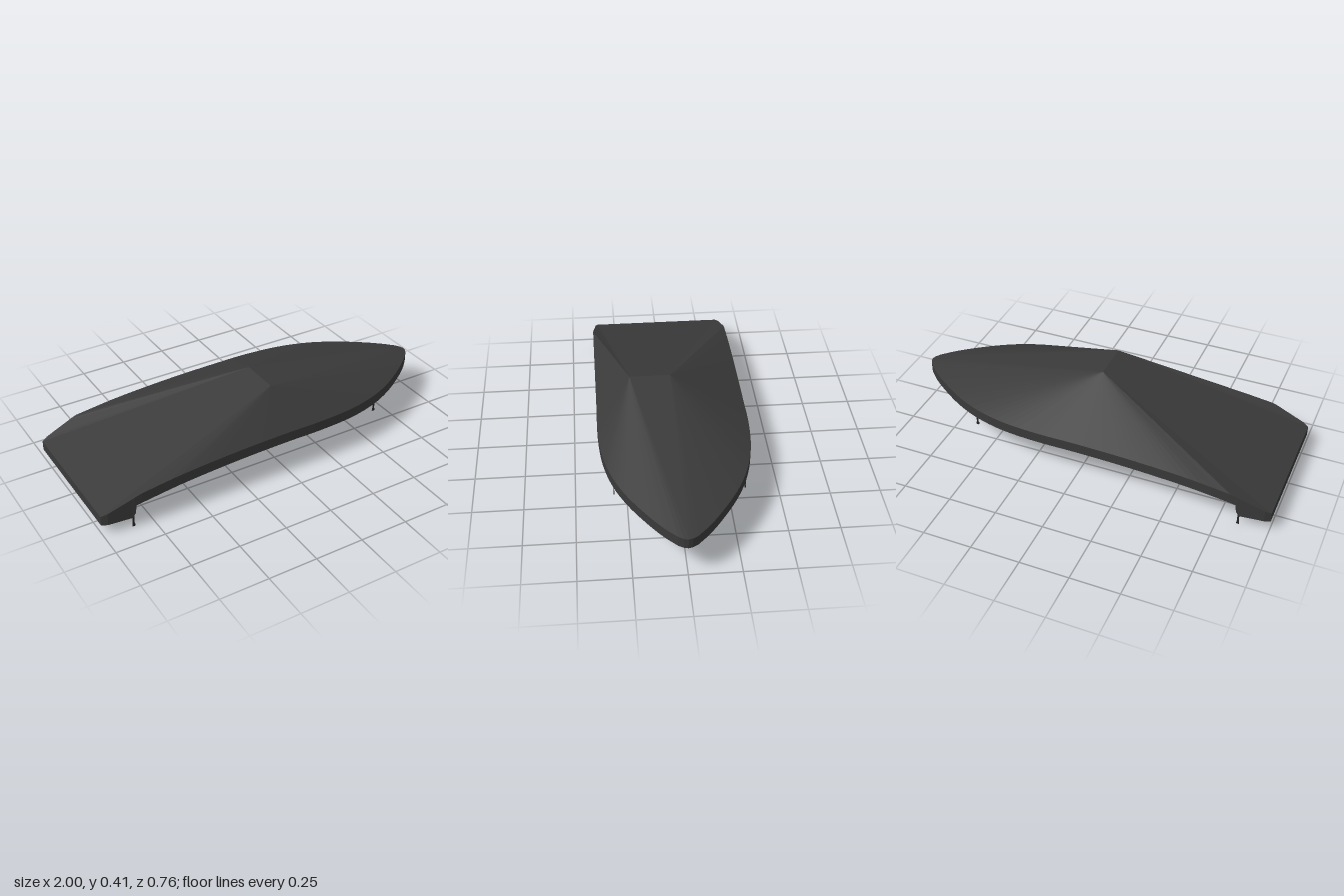
import * as THREE from 'three';

const V = (x, y, z) => new THREE.Vector3(x, y, z);

// Flat-shaded open surface from a list of corner triples
function surface(name, corners, material) {
  const geometry = new THREE.BufferGeometry().setFromPoints(corners);
  geometry.computeVertexNormals();
  const mesh = new THREE.Mesh(geometry, material);
  mesh.name = name;
  return mesh;
}

// Left half of the rim, stern to nose: top point and skirt bottom height
function halfRim() {
  const rim = [
    [V(-1, 0.1, 0.35), 0.05],
    [V(-0.97, 0.112, 0.362), 0.05],
    [V(-0.85, 0.157, 0.374), 0.05],
    [V(-0.835, 0.163, 0.376), 0.075],
    [V(-0.83, 0.165, 0.376), 0.115],
  ];
  const curve = new THREE.CatmullRomCurve3([
    V(-0.8, 0.175, 0.378), V(-0.6, 0.2, 0.378), V(-0.4, 0.215, 0.378),
    V(-0.2, 0.224, 0.378), V(0, 0.228, 0.378), V(0.2, 0.228, 0.378),
    V(0.4, 0.226, 0.36), V(0.565, 0.224, 0.317), V(0.7, 0.222, 0.255),
    V(0.83, 0.22, 0.172), V(0.92, 0.218, 0.103), V(0.98, 0.217, 0.045),
  ]);
  for (const p of curve.getPoints(44)) rim.push([p, p.y - 0.053]);
  rim.push([V(0.995, 0.217, 0.02), 0.164]);
  return rim;
}

export function createModel() {
  const model = new THREE.Group();
  model.name = 'boatCover';
  const fabric = new THREE.MeshStandardMaterial({ color: 0x3a3a3a });
  fabric.name = 'charcoal fabric';
  fabric.side = THREE.DoubleSide;
  const webbing = new THREE.MeshStandardMaterial({ color: 0x262626 });
  webbing.name = 'black webbing';

  const left = halfRim();
  const right = left.map(([p, b]) => [V(p.x, p.y, -p.z), b]).reverse();
  const nose = [V(1, 0.217, 0), 0.164];
  const rim = [...left, nose, ...right];
  const peakL = V(0, 0.405, 0.205), peakR = V(0, 0.405, 0);

  // Roof: each side fans up to its own peak, with panels at bow and stern
  const roof = [];
  for (let i = 0; i < rim.length - 1; i++) {
    roof.push(rim[i][0], rim[i + 1][0], i < left.length ? peakL : peakR);
  }
  const sternL = rim[0][0], sternR = rim[rim.length - 1][0];
  roof.push(nose[0], peakR, peakL);
  roof.push(peakL, peakR, sternL, peakR, sternR, sternL);
  model.add(surface('roof', roof, fabric));

  // Skirt hanging from the rim, including the transom
  const skirt = [];
  rim.forEach(([p, b], i) => {
    const [q, c] = rim[(i + 1) % rim.length];
    const pb = V(p.x, b, p.z), qb = V(q.x, c, q.z);
    skirt.push(pb, qb, q, pb, q, p);
  });
  model.add(surface('skirt', skirt, fabric));

  // Tie-down straps with a small buckle at the lower end
  function strap(name, x, z, bottom, top) {
    const group = new THREE.Group();
    group.name = name;
    const band = new THREE.Mesh(new THREE.BoxGeometry(0.009, top - bottom, 0.003), webbing);
    band.position.set(x, (top + bottom) / 2, z);
    const buckle = new THREE.Mesh(new THREE.BoxGeometry(0.013, 0.013, 0.005), webbing);
    buckle.position.set(x, bottom + 0.0065, z);
    band.name = 'band';
    buckle.name = 'buckle';
    group.add(band, buckle);
    model.add(group);
  }
  for (const [side, s] of [['Left', 1], ['Right', -1]]) {
    strap('sternStrap' + side, -0.848, s * 0.371, 0, 0.13);
    strap('bowStrap' + side, 0.565, s * 0.313, 0.128, 0.178);
  }
  return model;
}
